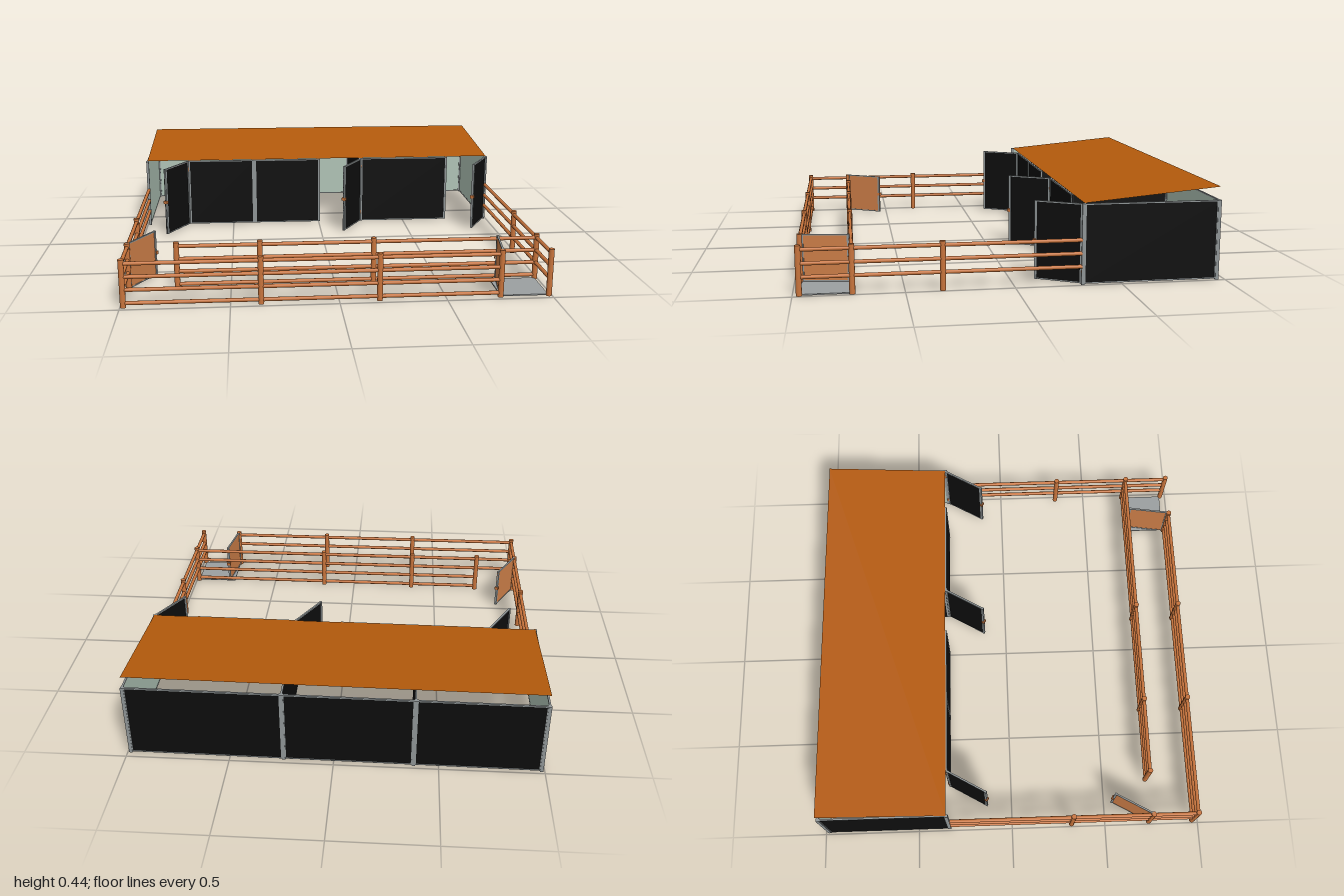
import * as THREE from 'three';

const mat = (name, color) => {
  const m = new THREE.MeshStandardMaterial({ color });
  m.name = name;
  return m;
};

export function createModel() {
  const root = new THREE.Group();
  root.name = 'stableWithPaddock';
  const black = mat('blackPanel', 0x0d0d0d);
  const pale = mat('paleGreenLining', 0xb0c4b7);
  const steel = mat('greySteel', 0x8f9596);
  const wood = mat('orangeWood', 0xc8743c);
  const gatePanel = mat('gateBoard', 0xcb7d47);
  const roofMat = mat('rustRoof', 0xb45a0c);
  roofMat.side = THREE.DoubleSide;
  const plateMat = mat('greyPlate', 0x9b9fa0);

  const add = (parent, name, geo, material, x = 0, y = 0, z = 0) => {
    const m = new THREE.Mesh(geo, material);
    m.name = name;
    m.position.set(x, y, z);
    parent.add(m);
    return m;
  };

  // Upright framed panel running from a to b ([x, z]); right-hand face may differ
  function panel(name, a, b, y0, y1, face, inner = face) {
    const g = new THREE.Group();
    g.name = name;
    const dx = b[0] - a[0], dz = b[1] - a[1], len = Math.hypot(dx, dz);
    const h = y1 - y0, t = 0.012;
    g.position.set(a[0], y0, a[1]);
    g.rotation.y = Math.atan2(-dz, dx);
    add(g, 'board', new THREE.BoxGeometry(len, h - 0.004, 0.006),
      [face, face, face, face, inner, face], len / 2, h / 2, 0);
    for (const x of [t / 2, len - t / 2])
      add(g, 'frameUpright', new THREE.BoxGeometry(t, h, t), steel, x, h / 2, 0);
    for (const y of [0.003, h - 0.003])
      add(g, 'frameBar', new THREE.BoxGeometry(len, 0.006, 0.009), steel, len / 2, y, 0);
    root.add(g);
    return { g, len };
  }

  // Hinged leaf with hinges and a latch
  function leaf(name, a, b, y1, face, hingeYs, latchY) {
    const { g, len } = panel(name, a, b, 0.005, y1, face);
    for (const y of hingeYs)
      add(g, 'hinge', new THREE.CylinderGeometry(0.008, 0.008, 0.024, 8), wood, 0, y, 0);
    add(g, 'latch', new THREE.BoxGeometry(0.016, 0.016, 0.022), wood, len - 0.002, latchY, 0);
  }

  // Shelter: front and back lines are slightly skewed
  const H = 0.38, W = 0.985;
  const front = x => [x, -0.325 + 0.009 * x / W];
  const back = x => [x, -0.971 + 0.009 * x / W];
  const bays = [-W, -0.38, 0.24, W];
  for (let i = 0; i < 3; i++)
    panel('backWall', back(bays[i]), back(bays[i + 1]), 0.004, H, black, pale);
  panel('leftWall', front(W), back(W), 0.004, H, black, pale).g.children[0].material =
    [black, black, black, black, black, pale];
  panel('rightWall', front(-W), back(-W), 0.004, H, black, pale);
  for (const x of [-0.38, 0.24]) panel('partition', front(x), back(x), 0.004, H, black);
  for (const [x0, x1] of [[-0.755, -0.375], [-0.375, 0.008], [0.245, 0.755]])
    panel('frontWall', front(x0), front(x1), 0.004, H, black);

  // Corner and bay posts
  for (const x of bays) {
    const [px, pz] = back(x);
    add(root, 'backPost', new THREE.BoxGeometry(0.016, H, 0.016), steel, px, H / 2, pz);
  }
  for (const x of [-W, W]) {
    const [px, pz] = front(x);
    add(root, 'frontPost', new THREE.BoxGeometry(0.014, H, 0.014), steel, px, H / 2, pz);
  }

  // Open stable doors
  for (const x of [-0.755, 0.245, 0.982]) {
    const a = front(x);
    leaf('stableDoor', a, [x - 0.117, a[1] + 0.203], H, black, [0.05, 0.325], 0.185);
  }

  // Single sloping roof sheet
  const roofGeo = new THREE.BufferGeometry();
  const corners = [[front(-W), 0.382], [front(W), 0.382], [back(W), 0.442], [back(-W), 0.442]];
  roofGeo.setAttribute('position', new THREE.Float32BufferAttribute(
    corners.flatMap(([[x, z], y]) => [x, y, z + (y > 0.4 ? -0.005 : -0.003)]), 3));
  roofGeo.setIndex([0, 1, 2, 0, 2, 3]);
  roofGeo.computeVertexNormals();
  add(root, 'roof', roofGeo, roofMat);

  // Round rail between two points on the ground plan
  function rails(name, a, b, heights) {
    const len = Math.hypot(b[0] - a[0], b[1] - a[1]);
    for (const y of heights) {
      const r = add(root, name, new THREE.CylinderGeometry(0.0095, 0.0095, len, 12), wood,
        (a[0] + b[0]) / 2, y, (a[1] + b[1]) / 2);
      if (a[0] === b[0]) r.rotation.x = Math.PI / 2;
      else r.rotation.z = Math.PI / 2;
    }
  }
  const upper = [0.085, 0.147, 0.21], all = [0.021, ...upper];
  rails('rightSideRail', [-W, -0.33], [-W, 0.97], upper);
  rails('leftSideRail', [W, -0.312], [W, 0.97], upper);
  rails('outerFrontRail', [-W, 0.97], [0.755, 0.97], all);
  rails('innerFrontRail', [-0.755, 0.736], [W, 0.736], all);

  // Fence posts
  const posts = [[-W, 0.32], [-W, 0.736], [W, 0.33]];
  for (const x of [-W, -0.36, 0.187, 0.755, W]) posts.push([x, 0.97]);
  for (const x of [-0.755, -0.36, 0.187, W]) posts.push([x, 0.736]);
  for (const [x, z] of posts)
    add(root, 'fencePost', new THREE.CylinderGeometry(0.0135, 0.0135, 0.23, 14), wood, x, 0.115, z);

  // Paddock gates and the ground plate at the lane entrance
  leaf('rightGate', [-0.983, 0.736], [-0.871, 0.54], 0.23, gatePanel, [0.04, 0.19], 0.113);
  leaf('frontGate', [0.757, 0.965], [0.79, 0.742], 0.23, gatePanel, [0.04, 0.19], 0.113);
  add(root, 'groundPlate', new THREE.BoxGeometry(0.225, 0.006, 0.225), plateMat, 0.87, 0.003, 0.853);

  return root;
}
